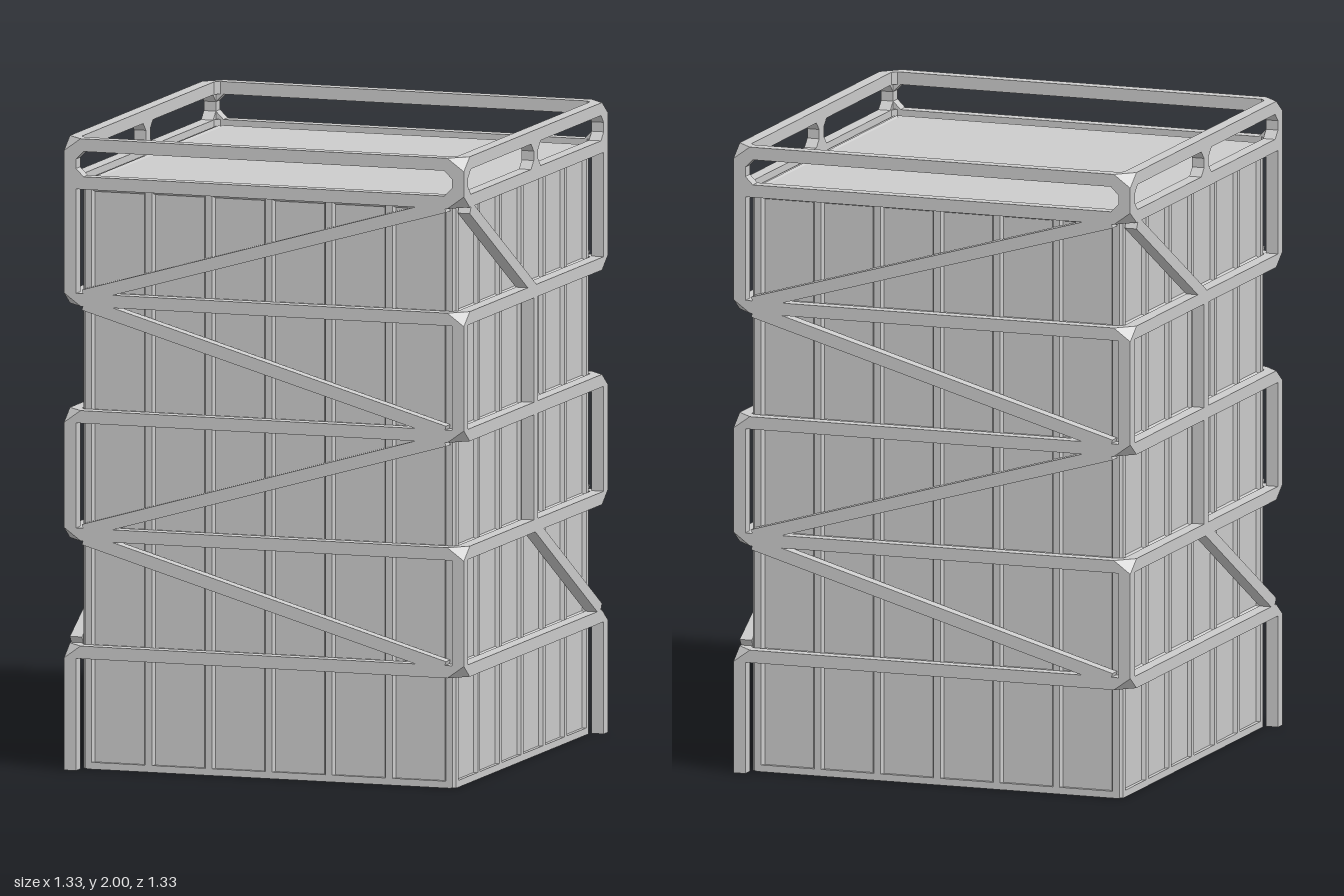
import * as THREE from 'three';
import { ConvexGeometry } from 'three/addons/geometries/ConvexGeometry.js';

const LEVELS = [0.375, 0.748, 1.12, 1.49, 1.86, 1.98]; // ring beam centre heights
const OUT = 0.665, T = 0.04, IN = OUT - T, MID = OUT - T / 2, CUT = 0.61;
const WALL = 0.605, TOP = 1.86; // wall panel plane and roof height

const material = new THREE.MeshStandardMaterial({ color: 0xcccccc, flatShading: true });

function add(parent, name, geometry, x = 0, y = 0, z = 0) {
  const mesh = new THREE.Mesh(geometry, material);
  mesh.name = name;
  mesh.position.set(x, y, z);
  parent.add(mesh);
  return mesh;
}

// Square bar between two points of a face plane (u across, v up), at depth MID
function bar(parent, name, u0, v0, u1, v1) {
  const length = Math.hypot(u1 - u0, v1 - v0);
  const mesh = add(parent, name, new THREE.BoxGeometry(length, T, T), (u0 + u1) / 2, (v0 + v1) / 2, MID);
  mesh.rotation.z = Math.atan2(v1 - v0, u1 - u0);
}

// Corner joint of a ring; cut = 1 or -1 slices the outer corner above or below, 0 leaves it whole
function joint(parent, sx, y, cut) {
  const points = [];
  for (const s of [-1, 1]) {
    const h = y + s * T / 2;
    for (const [x, z] of [[CUT, OUT], [OUT, CUT], [CUT, IN], [IN, CUT]]) points.push(new THREE.Vector3(sx * x, h, z));
    if (s !== cut) points.push(new THREE.Vector3(sx * OUT, h, OUT));
  }
  add(parent, 'cornerJoint', new ConvexGeometry(points));
}

// Small triangular fillet in a railing opening
function gusset(parent, u, v, su, sv) {
  const r = 0.025;
  const pts = [[0, 0], [su * r, 0], [0, sv * r]].map(([a, b]) => new THREE.Vector2(u + a, v + b));
  add(parent, 'railGusset', new THREE.ExtrudeGeometry(new THREE.Shape(pts), { depth: T, bevelEnabled: false }), 0, 0, IN);
}

// Wall rib with bevelled flanks, standing proud on both sides of the panel
function ribGeometry(length) {
  const w = 0.011, b = 0.02, d = 0.015;
  const section = new THREE.Shape([[-b, 0], [-w, -d], [w, -d], [b, 0], [w, d], [-w, d]].map(p => new THREE.Vector2(...p)));
  return new THREE.ExtrudeGeometry(section, { depth: length, bevelEnabled: false })
    .translate(0, 0, -length / 2).rotateX(Math.PI / 2);
}

function wall() {
  const group = new THREE.Group();
  group.name = 'wall';
  add(group, 'wallPanel', new THREE.BoxGeometry(2 * WALL, TOP, 0.006), 0, TOP / 2, WALL);
  for (let i = -3; i <= 3; i++) add(group, 'wallRib', ribGeometry(TOP - 0.002), i * 0.2, TOP / 2, WALL);
  for (const y of [0.011, ...LEVELS.slice(0, 4), TOP - 0.015]) {
    const rail = y < 0.1
      ? new THREE.BoxGeometry(2 * WALL, 0.022, 0.03)
      : ribGeometry(2 * WALL).rotateZ(Math.PI / 2);
    add(group, 'wallCrossRib', rail, 0, y, WALL);
  }
  return group;
}

// Horizontal ring beams and railing fillets shared by every face
function faceFrame(name, openings) {
  const group = new THREE.Group();
  group.name = name;
  for (const y of LEVELS) bar(group, 'ringBeam', -CUT, y, CUT, y);
  for (const [u0, u1] of openings) {
    for (const [v, sv] of [[LEVELS[4] + T / 2, 1], [LEVELS[5] - T / 2, -1]]) {
      gusset(group, u0, v, 1, sv);
      gusset(group, u1, v, -1, sv);
    }
  }
  return group;
}

// Front and side face with two corners; the other half is the same turned by 180 degrees
function halfTower() {
  const half = new THREE.Group();
  half.name = 'halfTower';
  const L = LEVELS;

  // Front face with zigzag bracing
  const front = faceFrame('zigzagFrame', [[-IN, IN]]);
  for (let i = 0; i < 4; i++) {
    const s = i % 2 ? -1 : 1; // side of the lower end
    const k = 0.6 / MID, m = (L[i] + L[i + 1]) / 2, d = (L[i + 1] - L[i]) / 2 * k;
    bar(front, 'zigzagBrace', s * 0.6, m - d, -s * 0.6, m + d);
  }
  half.add(front, wall());

  // Side face: u runs towards the back
  const side = faceFrame('sideFrame', [[-IN, -T / 2], [T / 2, IN]]);
  bar(side, 'upperBrace', -0.6, L[4] - 0.023, 0, L[3]);
  bar(side, 'lowerBrace', 0, L[1], 0.6, L[0] + 0.023);
  bar(side, 'middlePost', 0, L[1], 0, L[3]);
  bar(side, 'railPost', 0, L[4], 0, L[5]);
  const sideWall = wall();
  side.rotation.y = sideWall.rotation.y = Math.PI / 2;
  half.add(side, sideWall);

  // Corner posts alternate from storey to storey between neighbouring corners
  const corners = [
    { sx: 1, cuts: [-1, 1, -1, 1, -1, 1], posts: [[L[0], L[1]], [L[2], L[3]], [L[4], L[5]]] },
    { sx: -1, cuts: [1, -1, 1, -1, 0, 1], posts: [[-T / 2, L[0]], [L[1], L[2]], [L[3], L[4]], [L[4], L[5]]] },
  ];
  for (const { sx, cuts, posts } of corners) {
    L.forEach((y, i) => joint(half, sx, y, cuts[i]));
    for (const [y0, y1] of posts) {
      add(half, 'cornerPost', new THREE.BoxGeometry(T, y1 - y0 - T, T), sx * MID, (y0 + y1) / 2, MID);
    }
  }
  return half;
}

export function createModel() {
  const model = new THREE.Group();
  model.name = 'bracedTower';
  const back = halfTower();
  back.rotation.y = Math.PI;
  model.add(halfTower(), back);
  // Roof slab closing the hollow core
  add(model, 'roof', new THREE.BoxGeometry(1.24, 0.02, 1.24), 0, TOP - 0.01, 0);
  return model;
}
